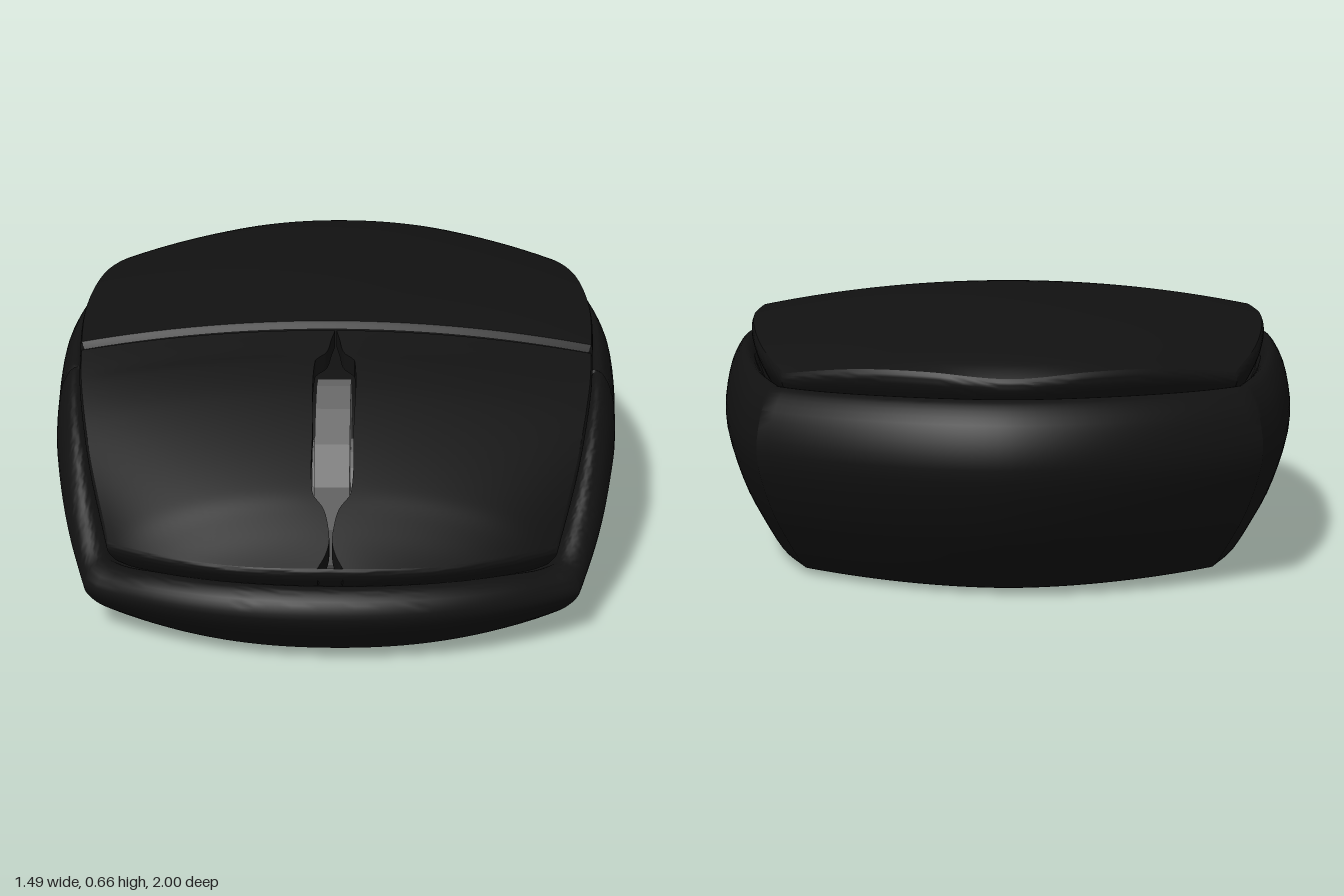
import * as THREE from 'three';
import { toCreasedNormals } from 'three/addons/utils/BufferGeometryUtils.js';

const SEAM = 0.26;
const lerp = THREE.MathUtils.lerp;

// Smooth curve through a few [t, value] points, t ascending
function curve(p) {
  const slope = i => {
    const a = p[Math.max(i - 1, 0)], b = p[Math.min(i + 1, p.length - 1)];
    return (b[1] - a[1]) / (b[0] - a[0]);
  };
  return t => {
    if (t <= p[0][0]) return p[0][1];
    if (t >= p[p.length - 1][0]) return p[p.length - 1][1];
    let i = 0;
    while (t > p[i + 1][0]) i++;
    const h = p[i + 1][0] - p[i][0], k = (t - p[i][0]) / h, k2 = k * k, k3 = k2 * k;
    return (2 * k3 - 3 * k2 + 1) * p[i][1] + (k3 - 2 * k2 + k) * h * slope(i)
      + (3 * k2 - 2 * k3) * p[i + 1][1] + (k3 - k2) * h * slope(i + 1);
  };
}

// Shape rules along z
const halfWidth = curve([[-0.77, 0.6], [-0.6, 0.67], [-0.4, 0.715], [-0.2, 0.738], [0, 0.744],
  [0.26, 0.726], [0.4, 0.71], [0.6, 0.665], [0.8, 0.597]]);
const rim = curve([[-1, 0.49], [-0.77, 0.485], [-0.4, 0.512], [0, 0.515], [0.26, 0.49],
  [0.45, 0.41], [0.6, 0.31], [0.7, 0.235], [0.8, 0.175], [0.9, 0.185], [1, 0.2]]);
const crown = curve([[-0.75, 0.1], [-0.3, 0.075], [0, 0.075], [0.26, 0.06], [0.5, 0.085], [0.77, 0.15]]);
const slot = curve([[0.27, 0.002], [0.3, 0.01], [0.35, 0.022], [0.38, 0.05], [0.6, 0.05], [0.77, 0.046],
  [0.81, 0.018], [0.86, 0.005], [0.89, 0.004], [0.92, 0.014], [0.95, 0.032]]);

const halves = {
  front: {
    front: true, corner: 0.8, end: u => 1 - 0.2 * Math.abs(u) ** 2.2, coverStretch: 1.025,
    top: curve([[0.26, 0.6], [0.5, 0.505], [0.75, 0.375], [0.95, 0.245]]),
  },
  back: {
    front: false, corner: -0.77, end: u => -1 + 0.23 * Math.abs(u) ** 1.8, coverStretch: 1,
    top: curve([[-0.9, 0.515], [-0.85, 0.555], [-0.75, 0.59], [-0.5, 0.635], [-0.17, 0.655], [0.1, 0.642], [0.26, 0.612]]),
  },
};

// Plan position: u runs across (-1..1), v from the seam to the end, s shrinks the outline
function plan(h, u, v, s, stretch = 1) {
  const side = lerp(SEAM, h.corner, v);
  return {
    x: u * halfWidth(side) * s,
    z: SEAM + (h.end(u) - SEAM) * s * stretch * v,
    side: SEAM + (h.corner - SEAM) * s * v,
    rim: rim(lerp(SEAM, h.end(u), v)),
  };
}

const steps = (n, a = 0, b = 1) => Array.from({ length: n + 1 }, (_, i) => lerp(a, b, i / n));
const rows = [0, 0.006, 0.012, ...steps(60, 0.025, 1)];

// Outline of one half: up one side, round the end, down the other side
const outline = [
  ...rows.map(v => [-1, v]),
  ...steps(40, -1, 1).slice(1, -1).map(u => [u, 1]),
  ...rows.slice().reverse().map(v => [1, v]),
];

// Surface through a grid of points
function sheet(as, bs, point, flip) {
  const pos = [], idx = [], n = bs.length;
  as.forEach(a => bs.forEach(b => pos.push(...point(a, b))));
  for (let i = 0; i < as.length - 1; i++) for (let j = 0; j < n - 1; j++) {
    const a = i * n + j, b = a + n, c = a + 1, d = b + 1;
    idx.push(...(flip ? [a, c, b, c, d, b] : [a, b, c, c, b, d]));
  }
  const g = new THREE.BufferGeometry();
  g.setAttribute('position', new THREE.Float32BufferAttribute(pos, 3));
  g.setIndex(idx);
  return toCreasedNormals(g, 0.55);
}

// Body wall section: [outline scale, fraction of rim height]
const wall = new THREE.SplineCurve([[0.82, 0.02], [0.845, 0.04], [0.9, 0.2], [0.957, 0.4], [1, 0.66], [0.988, 0.86],
  [0.957, 0.97], [0.93, 1], [0.905, 0.97], [0.875, 0.9], [0.8, 0.85]].map(p => new THREE.Vector2(...p))).getPoints(36);
// Cover edge section: [outline scale, blend from cover top to groove]
const lip = new THREE.SplineCurve([[0.905, 0], [0.911, 0.12], [0.909, 0.3], [0.895, 0.55], [0.87, 0.85],
  [0.83, 1]].map(p => new THREE.Vector2(...p))).getPoints(14);

const seamCut = v => (v < 0.003 ? 1 : v < 0.009 ? 0.4 : 0);

function coverPoint(h, u, v, s) {
  const p = plan(h, u, v, s - 0.01 * seamCut(v), h.coverStretch);
  return { ...p, y: h.top(p.z) - crown(p.side) * u * u - 0.015 * seamCut(v) };
}

export function createModel() {
  const root = new THREE.Group();
  const dark = new THREE.MeshStandardMaterial({ color: 0x111111, side: THREE.DoubleSide });
  const grey = new THREE.MeshStandardMaterial({ color: 0x666666, flatShading: true });
  const add = (parent, name, geo, mat = dark) => {
    const m = new THREE.Mesh(geo, mat);
    m.name = name;
    parent.add(m);
    return m;
  };

  for (const [name, h] of Object.entries(halves)) {
    // Lower body: wall with rolled rim, base and inner deck
    const body = new THREE.Group();
    body.name = name + 'Body';
    root.add(body);
    add(body, name + 'Wall', sheet(wall, outline, (w, [u, v]) => {
      const p = plan(h, u, v, w.x - 0.012 * seamCut(v));
      return [p.x, Math.max(0.008, p.rim * w.y), p.z];
    }, h.front));
    add(body, name + 'Base', sheet(steps(30), steps(12, -1, 1), (v, u) => {
      const p = plan(h, u, v, 0.822);
      return [p.x, 0.008, p.z];
    }, h.front));
    add(body, name + 'Deck', sheet(steps(30), steps(12, -1, 1), (v, u) => {
      const p = plan(h, u, v, 0.802);
      return [p.x, p.rim * 0.85, p.z];
    }, !h.front));

    // Overhanging edge of the upper cover
    add(root, name + 'CoverEdge', sheet(lip, outline, (l, [u, v]) => {
      const top = coverPoint(h, u, v, 0.905), p = coverPoint(h, u, v, l.x);
      return [p.x, lerp(top.y, p.rim * 0.87, l.y), p.z];
    }, !h.front));
  }

  // Palm cover
  add(root, 'palmCover', sheet(rows, steps(40, -1, 1), (v, u) => {
    const p = coverPoint(halves.back, u, v, 0.905);
    return [p.x, p.y, p.z];
  }, true));

  // Two buttons parted by the wheel slot; the first column is the slot wall
  for (const [name, side] of [['leftButton', 1], ['rightButton', -1]]) {
    add(root, name, sheet(rows, [-1, ...steps(24)], (v, k) => {
      const u = Math.max(k, 0), p = coverPoint(halves.front, u, v, 0.905);
      return [side * (p.x + slot(p.z) * (1 - u)), p.y - (k < 0 ? 0.045 : 0), p.z];
    }, side < 0));
  }

  // Faceted scroll wheel and its hub
  const wheel = new THREE.Group();
  wheel.name = 'scrollWheel';
  wheel.position.set(0, 0.268, 0.51);
  wheel.rotation.z = Math.PI / 2;
  add(wheel, 'wheelRim', new THREE.CylinderGeometry(0.268, 0.268, 0.085, 16), grey);
  add(wheel, 'wheelHub', new THREE.CylinderGeometry(0.12, 0.12, 0.104, 16), grey);
  root.add(wheel);
  return root;
}
